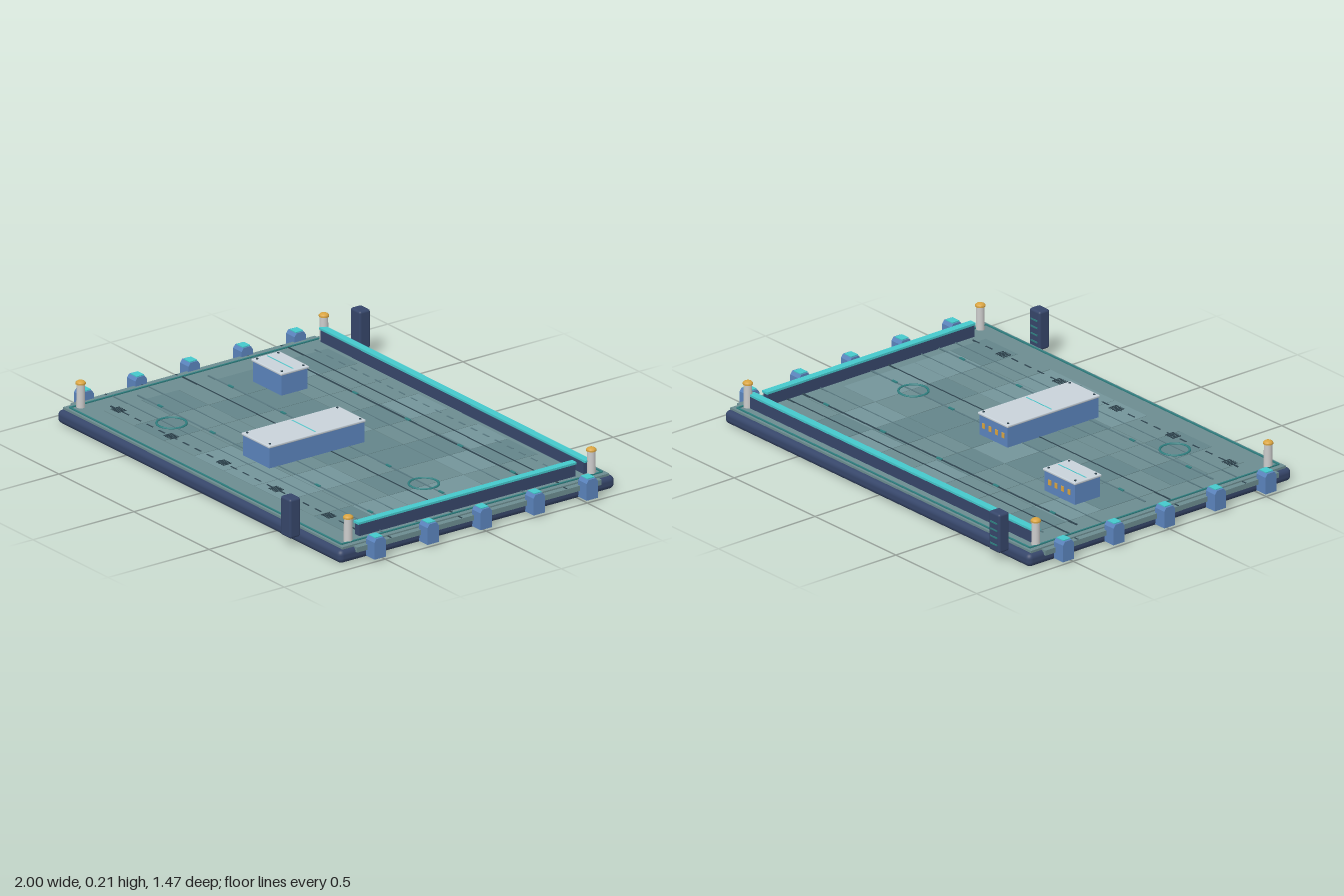
import * as THREE from 'three';
import { RoundedBoxGeometry } from 'three/addons/geometries/RoundedBoxGeometry.js';

const mat = (color) => new THREE.MeshStandardMaterial({ color });
const M = {
  navy: mat(0x36466a), dark: mat(0x273248), deck: mat(0x6c8c90), tile: mat(0x64858a), tileLight: mat(0x73949a),
  seam: mat(0x2f4550), faint: mat(0x587880), blue: mat(0x5b84bd), cyan: mat(0x45c8cc), teal: mat(0x2f7f80),
  pale: mat(0xc8d2da), post: mat(0xcccccc), gold: mat(0xd9a441),
};
const DECK = 0.066;

export function createModel() {
  const root = new THREE.Group();

  const add = (parent, name, geometry, material, x, y, z) => {
    const mesh = new THREE.Mesh(geometry, material);
    mesh.name = name;
    mesh.position.set(x, y, z);
    parent.add(mesh);
    return mesh;
  };
  const group = (name) => {
    const g = new THREE.Group();
    g.name = name;
    root.add(g);
    return g;
  };
  // Boxes are placed by the centre of their underside
  const box = (p, name, m, w, h, d, x, y, z) => add(p, name, new THREE.BoxGeometry(w, h, d), m, x, y + h / 2, z);
  const round = (p, name, m, w, h, d, x, y, z, r = 0.008) =>
    add(p, name, new RoundedBoxGeometry(w, h, d, 3, r), m, x, y + h / 2, z);

  // Base slab, side ledges and deck
  const base = group('base');
  round(base, 'slab', M.navy, 1.89, 0.057, 1.365, 0, 0, 0, 0.022);
  box(base, 'underside', M.dark, 1.84, 0.004, 1.32, 0, 0, 0);
  for (const s of [-1, 1]) {
    box(base, 'sideLedge', M.deck, 0.06, 0.022, 1.21, s * 0.925, 0.038, 0);
    for (const z of [-0.435, -0.265, 0.085, 0.26, 0.435])
      box(base, 'ledgeSeam', M.seam, 0.04, 0.002, 0.006, s * 0.932, 0.06, z);
  }
  box(base, 'deck', M.deck, 1.86, 0.016, 1.32, 0, 0.05, 0);

  // Two-tone floor tiles from a small seeded generator
  const tiles = group('floorTiles');
  let seed = 7;
  const rand = () => (seed = (seed * 16807) % 2147483647) / 2147483647;
  for (let i = 0; i < 8; i++)
    for (let j = 0; j < 6; j++) {
      const m = rand() < 0.4 ? M.tile : rand() < 0.4 ? M.tileLight : M.deck;
      box(tiles, 'tile', m, 0.197, 0.002, 0.182, -0.7 + i * 0.2, DECK, -0.4625 + j * 0.185);
    }

  // Border trim around the deck
  const trim = group('borderTrim');
  for (const s of [-1, 1]) {
    box(trim, 'longTrim', M.teal, 1.81, 0.005, 0.007, 0, DECK, s * 0.645);
    box(trim, 'shortTrim', M.teal, 0.007, 0.005, 1.29, s * 0.905, DECK, 0);
  }

  // Panel seams, conduits, dashes and tick marks
  const marks = group('floorMarkings');
  const line = (m, w, z, d = 0.005, x = 0) => box(marks, 'line', m, w, 0.004, d, x, DECK, z);
  for (const z of [-0.435, 0.09]) line(M.seam, 1.8, z);
  for (const z of [-0.265, 0.26, 0.435]) line(M.faint, 1.8, z, 0.004);
  line(M.seam, 1.7, -0.355, 0.008);
  line(M.faint, 1.7, 0, 0.007);
  line(M.faint, 1.7, 0.35, 0.007);
  for (let i = 0; i < 5; i++) {
    const x = -0.7 + i * 0.35;
    for (const z of [-0.355, 0, 0.35])
      box(marks, 'conduitClip', M.teal, 0.03, 0.007, 0.01, x, DECK, z);
    for (let k = 0; k < 5; k++)
      box(marks, 'tick', M.seam, 0.004, 0.005, 0.042, x - 0.09 + k * 0.011, DECK, 0.505);
  }
  for (let i = 0; i < 21; i++) {
    line(M.seam, 0.04, 0.505, 0.006, -0.8 + i * 0.08);
    line(M.faint, 0.04, -0.505, 0.006, -0.8 + i * 0.08);
  }

  // Floor rings
  for (const [x, z] of [[0.585, 0], [-0.53, 0.42]])
    add(root, 'floorRing', new THREE.TorusGeometry(0.06, 0.005, 8, 40), M.teal, x, DECK + 0.003, z).rotation.x = Math.PI / 2;

  // Low walls with bright caps along the back and left edges
  const walls = group('lowWalls');
  box(walls, 'backWall', M.navy, 1.75, 0.05, 0.03, 0, DECK, -0.59);
  box(walls, 'backWallCap', M.cyan, 1.77, 0.009, 0.032, 0, 0.116, -0.59);
  box(walls, 'leftWall', M.navy, 0.03, 0.05, 1.07, 0.86, DECK, 0);
  box(walls, 'leftWallCap', M.cyan, 0.032, 0.009, 1.08, 0.86, 0.116, 0);

  // Corner posts
  const posts = group('cornerPosts');
  for (const x of [-0.89, 0.89])
    for (const z of [-0.602, 0.602]) {
      add(posts, 'post', new THREE.CylinderGeometry(0.017, 0.018, 0.108, 16), M.post, x, 0.117, z);
      const cap = add(posts, 'postCap', new THREE.SphereGeometry(0.021, 16, 8, 0, Math.PI * 2, 0, Math.PI / 2), M.gold, x, 0.168, z);
      cap.scale.y = 0.6;
      add(posts, 'capRim', new THREE.CylinderGeometry(0.021, 0.021, 0.006, 16), M.gold, x, 0.168, z);
    }

  // Edge connectors: chamfered outline extruded along x
  const edge = group('edgeConnectors');
  const outline = new THREE.Shape([[-0.028, 0], [0.028, 0], [0.028, 0.072], [0.018, 0.086], [-0.018, 0.086], [-0.028, 0.072]]
    .map(([a, b]) => new THREE.Vector2(a, b)));
  const body = new THREE.ExtrudeGeometry(outline, { depth: 0.056, bevelEnabled: false }).rotateY(Math.PI / 2).translate(-0.028, 0, 0);
  for (const s of [-1, 1])
    for (const z of [-0.525, -0.2625, 0, 0.2625, 0.525]) {
      add(edge, 'connector', body, M.blue, s * 0.972, 0.01, z);
      box(edge, 'connectorLight', M.cyan, 0.042, 0.005, 0.036, s * 0.97, 0.095, z);
    }

  // Upright pylons with lit slots on the rear face
  const pylons = group('pylons');
  for (const [x, z] of [[-0.79, -0.708], [0.65, 0.708]]) {
    round(pylons, 'pylon', M.navy, 0.066, 0.168, 0.054, x, 0.038, z, 0.01);
    for (let i = 0; i < 4; i++)
      box(pylons, 'pylonSlot', M.teal, 0.042, 0.006, 0.006, x, 0.068 + i * 0.031, z - 0.027);
  }

  // Equipment blocks with pale lids, screws and rear lamps
  for (const [x, z, w, d] of [[-0.6, -0.17, 0.19, 0.13], [0, 0.16, 0.175, 0.47]]) {
    const unit = group('equipmentBlock');
    box(unit, 'housing', M.blue, w, 0.089, d, x, DECK, z);
    round(unit, 'lid', M.pale, w + 0.01, 0.011, d + 0.01, x, 0.154, z, 0.004);
    box(unit, 'lidStripe', M.cyan, w - 0.02, 0.002, 0.004, x, 0.1645, z);
    for (const a of [-1, 1])
      for (const b of [-1, 1])
        add(unit, 'screw', new THREE.CylinderGeometry(0.005, 0.005, 0.005, 8), M.seam,
          x + a * (w / 2 - 0.012), 0.166, z + b * (d / 2 - 0.012));
    for (let i = 0; i < 4; i++)
      box(unit, 'lamp', M.gold, 0.016, 0.022, 0.006, x + (i - 1.5) * 0.04, 0.102, z - d / 2);
  }
  return root;
}
